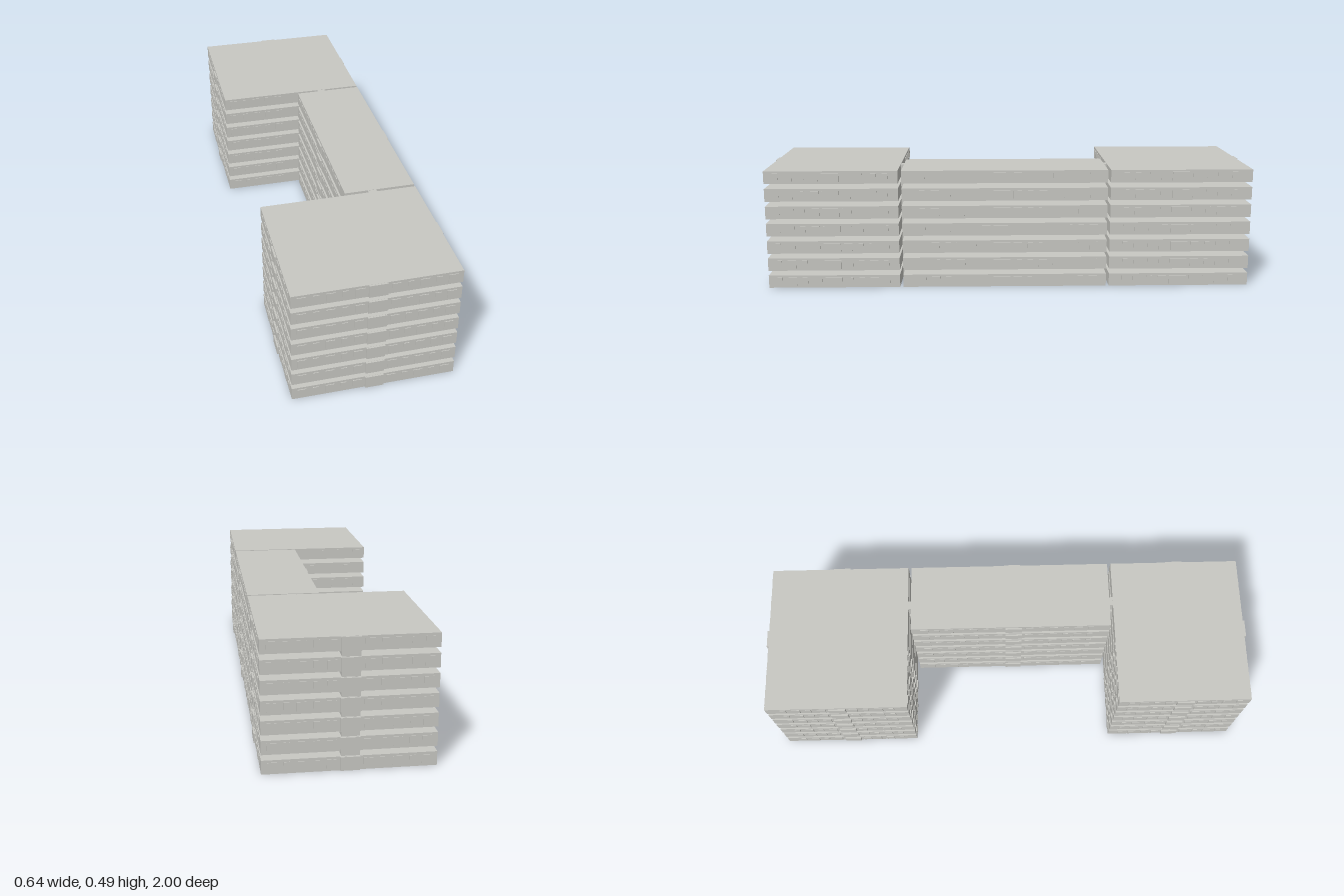
import * as THREE from 'three';
import { mergeGeometries } from 'three/addons/utils/BufferGeometryUtils.js';

const FLOORS = 7, PITCH = 0.0727, BASE = 0.003, SLAB = 0.052;

// box from its minimum and maximum corners
function box(x0, x1, y0, y1, z0, z1) {
  return new THREE.BoxGeometry(x1 - x0, y1 - y0, z1 - z0)
    .translate((x0 + x1) / 2, (y0 + y1) / 2, (z0 + z1) / 2);
}

// thin box lying on a facade: axis is its normal, 'at' the wall plane, a0..a1 the run along the wall
function onWall(axis, sign, at, a0, a1, y0, y1, depth) {
  const p = at + sign * depth, lo = Math.min(at, p), hi = Math.max(at, p);
  return axis === 'x' ? box(lo, hi, y0, y1, a0, a1) : box(a0, a1, y0, y1, lo, hi);
}

export function createModel() {
  const concrete = new THREE.MeshStandardMaterial({ color: 0xc8c8c3 });
  concrete.name = 'pale concrete';
  const model = new THREE.Group();
  model.name = 'apartmentBuilding';

  // blocks: plan limits, centre lines of the bays, decorated facades and stair cores
  const blocks = [
    { name: 'frontBlock', x: [-0.311, 0.311], z: [0.452, 0.992], mid: [0, 0.725],
      walls: [['x', 1], ['x', -1], ['z', 1], ['z', -1, -0.29, 0.01]],
      cores: [[-0.307, -0.215, 0.695, 0.76]] },
    { name: 'linkBlock', x: [0.027, 0.311], z: [-0.402, 0.438], mid: [0.14, 0.03],
      walls: [['x', 1], ['x', -1]],
      cores: [[0.033, 0.125, -0.003, 0.062]] },
    { name: 'backBlock', x: [-0.311, 0.311], z: [-0.993, -0.414], mid: [0, -0.7],
      walls: [['x', 1], ['x', -1], ['z', -1], ['z', 1, -0.29, 0.01]],
      cores: [[-0.307, -0.215, -0.735, -0.67], [-0.035, 0.031, -0.989, -0.895]] },
  ];

  for (const b of blocks) {
    const group = new THREE.Group();
    group.name = b.name;
    const parts = { floorBands: [], stairCores: [], centreBays: [], windowPanels: [] };

    for (let f = 0; f < FLOORS; f++) {
      const y = BASE + f * PITCH;
      parts.floorBands.push(box(...b.x, y, y + SLAB, ...b.z));

      // cores bridge the open joint to the next floor
      if (f < FLOORS - 1) {
        for (const [x0, x1, z0, z1] of b.cores) {
          parts.stairCores.push(box(x0, x1, y + SLAB, y + PITCH, z0, z1));
        }
      }

      for (const [axis, sign, from, to] of b.walls) {
        const side = axis === 'x' ? b.x : b.z, run = axis === 'x' ? b.z : b.x;
        const at = sign > 0 ? side[1] : side[0];
        const partial = from !== undefined;
        const c = axis === 'x' ? b.mid[1] : b.mid[0];

        // projecting bay in the middle of each full facade
        if (!partial) {
          const inset = axis === 'x' ? 0.008 : 0.0005;
          parts.centreBays.push(
            onWall(axis, sign, at, c - 0.035, c + 0.035, y + inset, y + SLAB - inset, 0.007));
        }

        // alternating wide and narrow panels, mirrored about the bay
        const lo = partial ? from : run[0] + 0.015, hi = partial ? to : run[1] - 0.015;
        for (const dir of [-1, 1]) {
          for (let i = 0, d = 0.065; d < 0.45; i++, d += 0.052) {
            const w = i % 2 ? 0.011 : 0.017, p = c + dir * d;
            if (p - w < lo || p + w > hi) continue;
            parts.windowPanels.push(
              onWall(axis, sign, at, p - w, p + w, y + (i % 2 ? 0.018 : 0.01), y + 0.043, 0.003));
          }
        }
      }
    }

    for (const [name, list] of Object.entries(parts)) {
      const mesh = new THREE.Mesh(mergeGeometries(list), concrete);
      mesh.name = name;
      group.add(mesh);
    }
    model.add(group);
  }

  // short connectors closing the joints between blocks on every floor
  const joints = [];
  for (let f = 0; f < FLOORS; f++) {
    const y = BASE + f * PITCH;
    for (const [z0, z1] of [[0.438, 0.452], [-0.414, -0.402]]) {
      joints.push(box(0.12, 0.155, y + 0.001, y + SLAB - 0.001, z0, z1));
    }
  }
  const connectors = new THREE.Mesh(mergeGeometries(joints), concrete);
  connectors.name = 'blockConnectors';
  model.add(connectors);

  return model;
}
